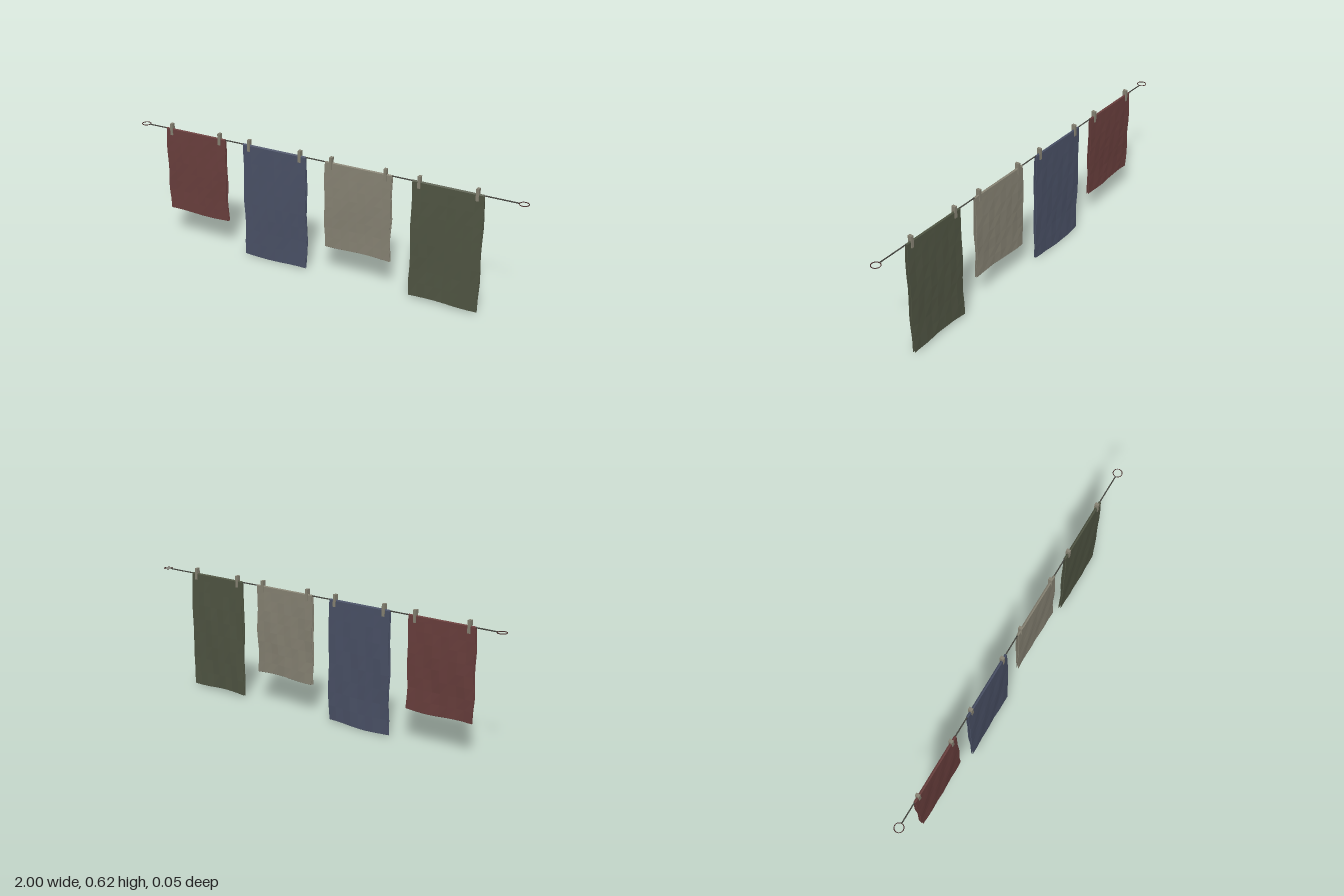
import * as THREE from 'three';

const mat = (name, color, extra = {}) => {
  const m = new THREE.MeshStandardMaterial({ color, ...extra });
  m.name = name;
  return m;
};

const LINE_Y = 0.594;

// Sheet folded over the line: an inverted U section with thickness, swept along x
function foldedCloth(width, length, seed) {
  const depths = [0.01, 0.06, 0.16, 0.28, 0.4, 0.52, 0.64, 0.76, 0.88, 1];
  const path = [...depths.slice().reverse().map(d => [d, 1]), [0, 0], ...depths.map(d => [d, -1])];
  const cols = 8, rows = path.length;
  const pos = [], index = [];
  for (let layer = 0; layer < 2; layer++) {
    for (let i = 0; i <= cols; i++) {
      for (const [d, side] of path) {
        const s = i / cols;
        const bulge = 0.0055 + 0.003 * Math.sin(Math.PI * Math.min(1, d * 1.3));
        const crease = 0.0014 * Math.sin(i * 2.3 + d * 9 + seed + side) * Math.min(1, d * 4);
        const half = Math.max(0.0035, bulge + crease - layer * 0.003);
        const sway = 0.002 * Math.sin(s * 5 + d * 6 + seed) * d;
        const x = (s - 0.5) * width + 0.004 * Math.sin(d * 13 + seed * 2 + side * 0.4) * (0.4 + 0.6 * d);
        const hem = 0.004 * Math.sin(s * 6 + seed) * d * d;
        const y = 0.599 - layer * 0.0015 - d * (length - 0.004) + hem;
        pos.push(x, y, side * half + sway);
      }
    }
  }
  const at = (layer, i, j) => (layer * (cols + 1) + i) * rows + j;
  const quad = (a, b, c, d) => index.push(a, b, c, a, c, d);
  for (let j = 0; j < rows - 1; j++) {
    for (let i = 0; i < cols; i++) {
      quad(at(0, i, j), at(0, i + 1, j), at(0, i + 1, j + 1), at(0, i, j + 1));
      quad(at(1, i, j), at(1, i, j + 1), at(1, i + 1, j + 1), at(1, i + 1, j));
    }
    // side edges
    quad(at(0, 0, j), at(0, 0, j + 1), at(1, 0, j + 1), at(1, 0, j));
    quad(at(0, cols, j), at(1, cols, j), at(1, cols, j + 1), at(0, cols, j + 1));
  }
  // hems
  const e = rows - 1;
  for (let i = 0; i < cols; i++) {
    quad(at(0, i, 0), at(1, i, 0), at(1, i + 1, 0), at(0, i + 1, 0));
    quad(at(0, i, e), at(0, i + 1, e), at(1, i + 1, e), at(1, i, e));
  }
  const g = new THREE.BufferGeometry();
  g.setAttribute('position', new THREE.Float32BufferAttribute(pos, 3));
  g.setIndex(index);
  g.computeVertexNormals();
  return g;
}

// Clothes peg: two jaws joined above the line
function pegGeometry() {
  const s = new THREE.Shape();
  [[-0.01, 0.565], [-0.004, 0.565], [-0.004, 0.6], [0.004, 0.6], [0.004, 0.565],
    [0.01, 0.565], [0.01, 0.623], [-0.01, 0.623]]
    .forEach(([z, y], i) => (i ? s.lineTo(z, y) : s.moveTo(z, y)));
  const g = new THREE.ExtrudeGeometry(s, { depth: 0.014, bevelEnabled: false });
  g.translate(0, 0, -0.007);
  g.rotateY(Math.PI / 2);
  return g;
}

export function createModel() {
  const root = new THREE.Group();
  root.name = 'clothesline';
  const flat = { flatShading: true, side: THREE.DoubleSide };
  const rope = mat('dark rope', 0x45453f);
  const ringMat = mat('ring brown', 0x4a302e);
  const wood = mat('weathered wood', 0x858172);

  const add = (name, geometry, material, x = 0, y = 0) => {
    const m = new THREE.Mesh(geometry, material);
    m.name = name;
    m.position.set(x, y, 0);
    root.add(m);
  };

  // Line and its end rings
  const line = new THREE.CylinderGeometry(0.003, 0.003, 1.91, 6);
  line.rotateZ(Math.PI / 2);
  add('line', line, rope, 0, LINE_Y);
  const ring = new THREE.TorusGeometry(0.0215, 0.002, 6, 16);
  ring.rotateX(Math.PI / 2);
  for (const side of [-1, 1]) add(side < 0 ? 'rightRing' : 'leftRing', ring, ringMat, side * 0.9765, LINE_Y);

  // Hanging cloths, each held by two pegs
  const cloths = [
    ['redCloth', -0.685, 0.44, mat('faded red', 0x683e3c, flat)],
    ['blueCloth', -0.245, 0.595, mat('faded blue', 0x495065, flat)],
    ['beigeCloth', 0.193, 0.44, mat('beige', 0x858172, flat)],
    ['greenCloth', 0.632, 0.588, mat('olive green', 0x4f5442, flat)],
  ];
  const peg = pegGeometry();
  cloths.forEach(([name, x, length, material], i) => {
    add(name, foldedCloth(0.338, length, i * 1.7 + 0.6), material, x);
    for (const side of [-1, 1]) add('peg', peg, wood, x + side * 0.137);
  });
  return root;
}
